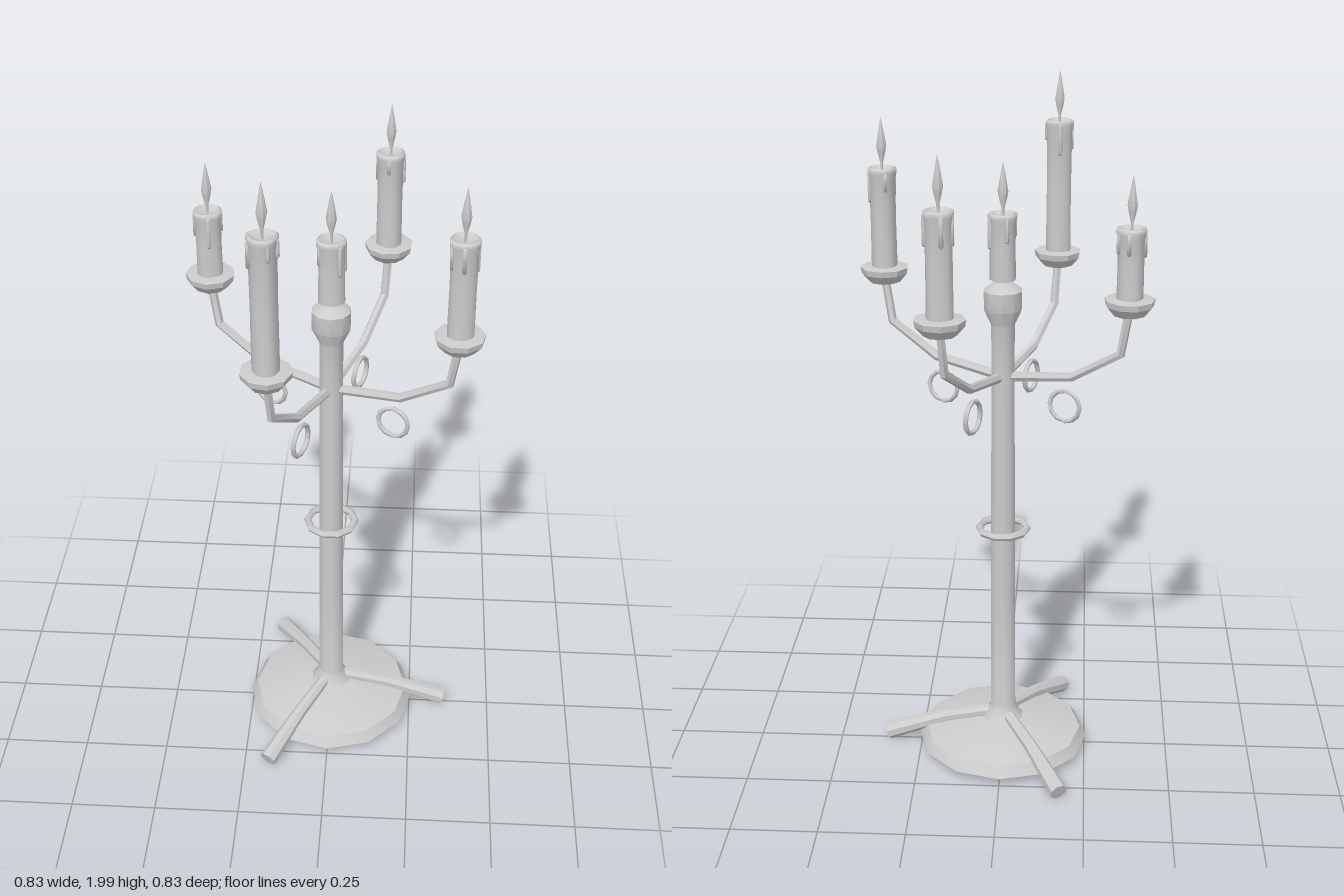
import * as THREE from 'three';
import { toCreasedNormals, mergeVertices } from 'three/addons/utils/BufferGeometryUtils.js';

const material = new THREE.MeshStandardMaterial({ color: 0xcccccc });

function add(parent, name, geometry, crease = 0.7) {
  const mesh = new THREE.Mesh(toCreasedNormals(geometry, crease), material);
  mesh.name = name;
  parent.add(mesh);
  return mesh;
}

const lathe = (profile, sides) =>
  new THREE.LatheGeometry(profile.map(([r, y]) => new THREE.Vector2(r, y)), sides);

// Tapered bar along a path of [x, y, radius] stations in the XY plane, mitred at the bends
function sweep(stations, sides) {
  const pos = [], index = [];
  const pts = stations.map(([x, y]) => new THREE.Vector2(x, y));
  const last = pts.length - 1;
  stations.forEach(([x, y, radius], i) => {
    const before = pts[Math.min(i, last - 1) + 1].clone().sub(pts[Math.min(i, last - 1)]).normalize();
    const prev = i > 0 ? pts[i].clone().sub(pts[i - 1]).normalize() : before;
    const t = before.add(prev).normalize();
    for (let j = 0; j < sides; j++) {
      const a = ((j + 0.5) / sides) * Math.PI * 2;
      const n = Math.cos(a) * radius;
      pos.push(x - t.y * n, y + t.x * n, Math.sin(a) * radius);
    }
  });
  for (let i = 0; i < last; i++) {
    for (let j = 0; j < sides; j++) {
      const k = (j + 1) % sides;
      const a = i * sides + j, b = i * sides + k, c = a + sides, d = b + sides;
      index.push(a, b, c, b, d, c);
    }
  }
  // End caps
  const end = last * sides;
  for (let j = 1; j < sides - 1; j++) {
    index.push(0, j + 1, j, end, end + j, end + j + 1);
  }
  const g = new THREE.BufferGeometry();
  g.setAttribute('position', new THREE.Float32BufferAttribute(pos, 3));
  g.setIndex(index);
  return g;
}

// Candle with a melted rim, wax runs, wick and flame
function makeCandle(bottom, top, seed) {
  const candle = new THREE.Group();
  candle.name = 'candle';
  const wax = lathe([
    [0, bottom], [0.036, bottom], [0.035, (bottom + top) / 2], [0.036, top - 0.035],
    [0.040, top - 0.015], [0.040, top - 0.004], [0.034, top], [0.026, top - 0.006], [0, top - 0.012],
  ], 16);
  const p = wax.attributes.position;
  for (let i = 0; i < p.count; i++) {
    const x = p.getX(i), z = p.getZ(i), a = Math.atan2(z, x);
    const melt = 1 + 0.04 * Math.sin(3 * a + seed) + 0.025 * Math.sin(5 * a + 2 * seed);
    p.setX(i, x * melt);
    p.setZ(i, z * melt);
  }
  add(candle, 'wax', mergeVertices(wax), 1.0);

  // Wax runs down the side
  for (let i = 0; i < 4; i++) {
    const a = seed * 1.7 + i * 1.75;
    const length = 0.03 + 0.05 * Math.abs(Math.sin(seed * 3 + i * 2.1));
    const run = add(candle, 'waxRun', new THREE.CapsuleGeometry(0.006, length, 3, 6), 1.2);
    run.position.set(Math.cos(a) * 0.036, top - 0.015 - length / 2, Math.sin(a) * 0.036);
  }

  add(candle, 'flame', lathe([
    [0, top - 0.015], [0.004, top - 0.012], [0.004, top + 0.012], [0.011, top + 0.04],
    [0.0145, top + 0.058], [0.009, top + 0.092], [0, top + 0.14],
  ], 8), 0.6);
  return candle;
}

export function createModel() {
  const model = new THREE.Group();
  model.name = 'candelabra';

  // Domed foot
  add(model, 'base', lathe([
    [0, 0.032], [0.256, 0.032], [0.236, 0.063], [0.16, 0.082], [0.07, 0.098], [0, 0.105],
  ], 12), 0.45);

  // Three splayed legs
  for (let i = 0; i < 3; i++) {
    const leg = add(model, 'leg', sweep([
      [0, 0.115, 0.018], [0.06, 0.109, 0.018], [0.18, 0.086, 0.02], [0.355, 0.029, 0.027],
    ], 8), 0.6);
    leg.rotation.y = (i * Math.PI * 2) / 3;
  }

  // Post with flared foot and central candle head
  add(model, 'post', lathe([
    [0, 0.085], [0.07, 0.09], [0.052, 0.11], [0.039, 0.14], [0.037, 0.5], [0.034, 1.2],
    [0.034, 1.355], [0.055, 1.4], [0.055, 1.453], [0.03, 1.473], [0, 1.476],
  ], 10), 0.65);

  // Ring around the post
  const collar = add(model, 'postRing', new THREE.TorusGeometry(0.07, 0.011, 6, 10), 1.1);
  collar.rotation.x = Math.PI / 2;
  collar.position.y = 0.73;

  model.add(makeCandle(1.483, 1.67, 0.5));

  // Four arms, each with a hanging ring, a cup and a candle
  const candleTops = [1.76, 1.86, 1.67, 1.76];
  candleTops.forEach((top, i) => {
    const arm = new THREE.Group();
    arm.name = 'armAssembly';
    arm.rotation.y = -(0.398 + (i * Math.PI) / 2);
    model.add(arm);

    add(arm, 'arm', sweep([
      [0, 1.2, 0.014], [0.21, 1.23, 0.013], [0.352, 1.317, 0.013], [0.373, 1.44, 0.012],
    ], 6), 0.6);

    const ring = add(arm, 'hangingRing', new THREE.TorusGeometry(0.045, 0.007, 6, 12), 1.1);
    ring.position.set(0.19, 1.142, 0);

    const holder = new THREE.Group();
    holder.name = 'candleHolder';
    holder.position.x = 0.374;
    arm.add(holder);
    add(holder, 'cup', lathe([
      [0, 1.433], [0.045, 1.433], [0.066, 1.458], [0.069, 1.475], [0.046, 1.479], [0, 1.476],
    ], 9), 0.5);
    holder.add(makeCandle(1.472, top, 1.3 + i * 1.9));
  });

  return model;
}
